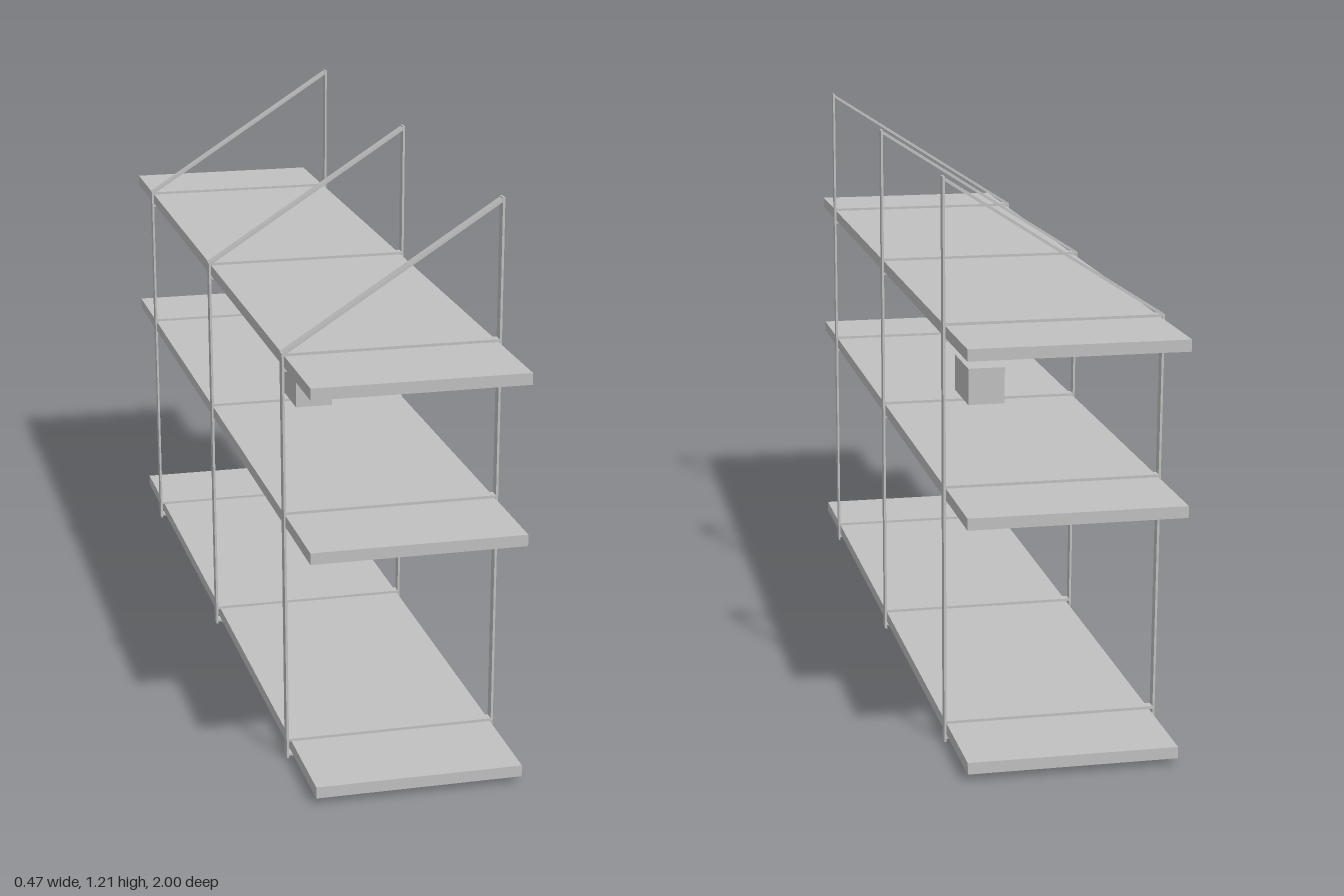
import * as THREE from 'three';

const BAR_WIDTH = 0.022;

// Flat metal bar running from a to b in the xy plane; the points are on its centre line.
function makeBar(name, a, b, thickness, material) {
  const dx = b[0] - a[0], dy = b[1] - a[1];
  const bar = new THREE.Mesh(
    new THREE.BoxGeometry(Math.hypot(dx, dy), thickness, BAR_WIDTH), material);
  bar.name = name;
  bar.position.set((a[0] + b[0]) / 2, (a[1] + b[1]) / 2, 0);
  bar.rotation.z = Math.atan2(dy, dx);
  return bar;
}

// Axis-aligned box given by its limits.
function makeBlock(name, x0, x1, y0, y1, z0, z1, material) {
  const block = new THREE.Mesh(
    new THREE.BoxGeometry(x1 - x0, y1 - y0, z1 - z0), material);
  block.name = name;
  block.position.set((x0 + x1) / 2, (y0 + y1) / 2, (z0 + z1) / 2);
  return block;
}

export function createModel() {
  const group = new THREE.Group();
  group.name = 'shelvingUnit';
  const grey = new THREE.MeshStandardMaterial({ color: 0xc0c0c0 });
  grey.name = 'light grey';

  // Left edge and underside of each board, from the floor up
  const levels = [
    { name: 'bottom', left: -0.217, y: 0.014 },
    { name: 'middle', left: -0.23, y: 0.533 },
    { name: 'top', left: -0.23, y: 0.879 },
  ];
  const boardThickness = 0.025;

  for (const { name, left, y } of levels) {
    group.add(makeBlock(name + 'Shelf', left, 0.229, y, y + boardThickness, -1, 1, grey));
  }

  // Three metal frames: wall post, leaning front post, diagonal stay, straps around each board
  for (const z of [-0.766, 0, 0.766]) {
    const frame = new THREE.Group();
    frame.name = 'supportFrame';
    frame.position.z = z;
    frame.add(
      makeBar('wallPost', [0.2325, 0], [0.2325, 1.214], 0.005, grey),
      makeBar('frontPost', [-0.2255, 0.002], [-0.2345, 0.911], 0.005, grey),
      makeBar('diagonalStay', [-0.2345, 0.909], [0.233, 1.21], 0.006, grey),
    );
    for (const { name, y } of levels) {
      const x = -0.2255 - 0.0099 * y;
      const over = y + boardThickness + 0.0045;
      const under = Math.max(y - 0.004, 0.003);
      frame.add(
        makeBar(name + 'UpperStrap', [x, over], [0.233, over], 0.006, grey),
        makeBar(name + 'LowerStrap', [x, under], [0.233, under], 0.006, grey),
      );
    }
    group.add(frame);
  }

  // Small box standing on the middle board
  group.add(makeBlock('smallBox', -0.045, 0.043, 0.566, 0.654, -0.083, 0.083, grey));

  return group;
}
